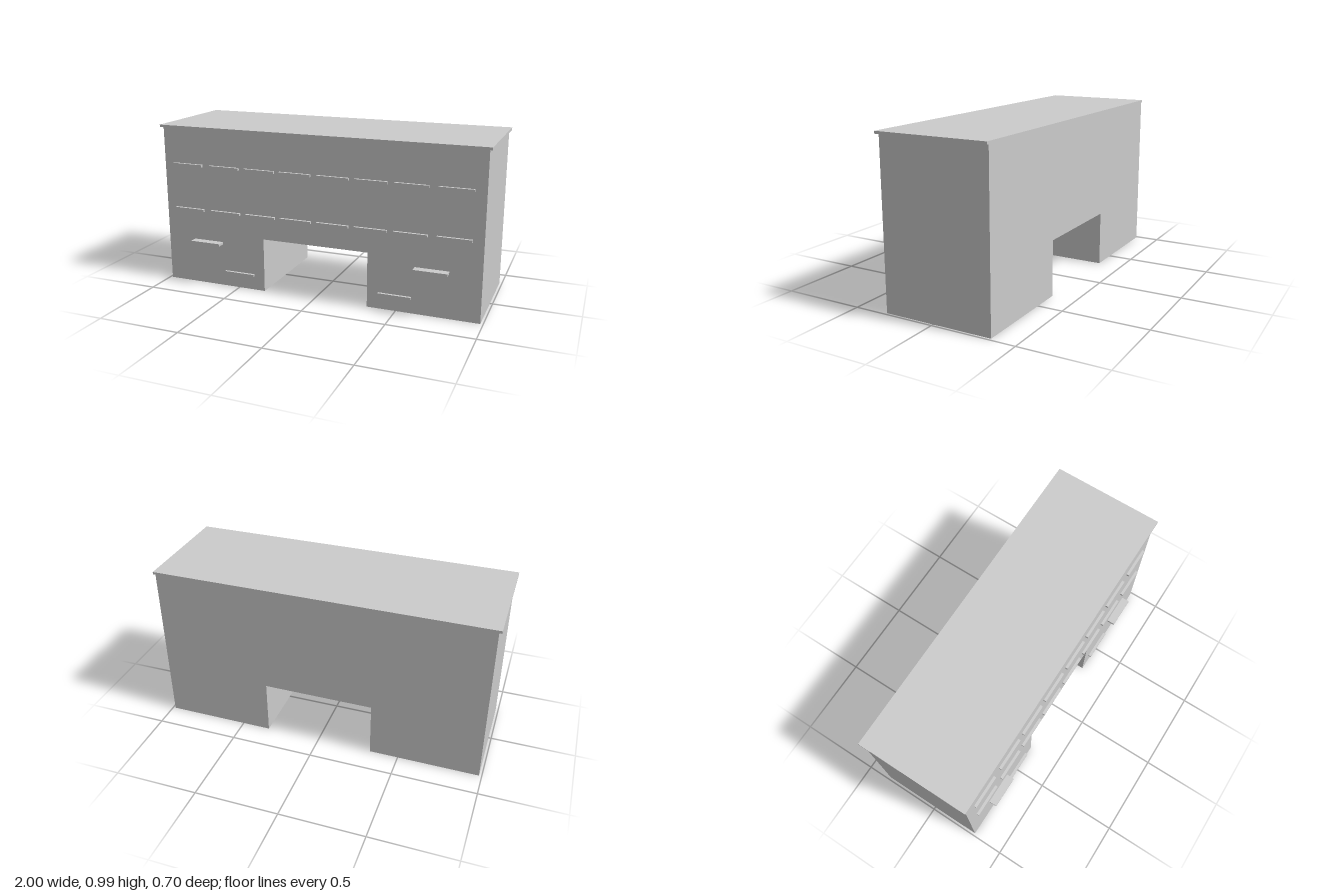
import * as THREE from 'three';

const BACK = -0.352, FRONT = 0.304;

export function createModel() {
  const group = new THREE.Group();
  const material = new THREE.MeshStandardMaterial({ color: 0xcccccc, flatShading: true });

  const add = (name, geometry) => {
    const mesh = new THREE.Mesh(geometry, material);
    mesh.name = name;
    group.add(mesh);
    return mesh;
  };
  const box = (name, w, h, d, x, y, z) =>
    add(name, new THREE.BoxGeometry(w, h, d)).position.set(x, y, z);

  // Cabinet: front outline with the knee opening, extruded to full depth
  const w = 0.984, h = 0.97, kneeW = 0.328, kneeH = 0.33;
  const outline = new THREE.Shape([
    [-w, 0], [-kneeW, 0], [-kneeW, kneeH], [kneeW, kneeH],
    [kneeW, 0], [w, 0], [w, h], [-w, h],
  ].map(([x, y]) => new THREE.Vector2(x, y)));
  const body = new THREE.ExtrudeGeometry(outline, { depth: FRONT - BACK, bevelEnabled: false });
  body.translate(0, 0, BACK);
  add('cabinet', body);

  // Worktop, overhanging the sides and front
  box('worktop', 2, 0.015, 0.32 - BACK, 0, 0.9775, (0.32 + BACK) / 2);

  // Bar handles, mirrored left and right
  const handle = (name, x, y, depth) => {
    for (const side of [-1, 1]) {
      box(name, 0.195, 0.0145, depth, side * x, y, FRONT + depth / 2);
    }
  };
  for (const x of [0.116, 0.345, 0.576, 0.822]) {
    handle('upperDrawerHandle', x, 0.748, 0.016);
    handle('middleDrawerHandle', x, 0.47, 0.016);
  }
  handle('pedestalPullOut', 0.703, 0.273, 0.048);
  handle('pedestalHandle', 0.493, 0.092, 0.016);

  return group;
}
